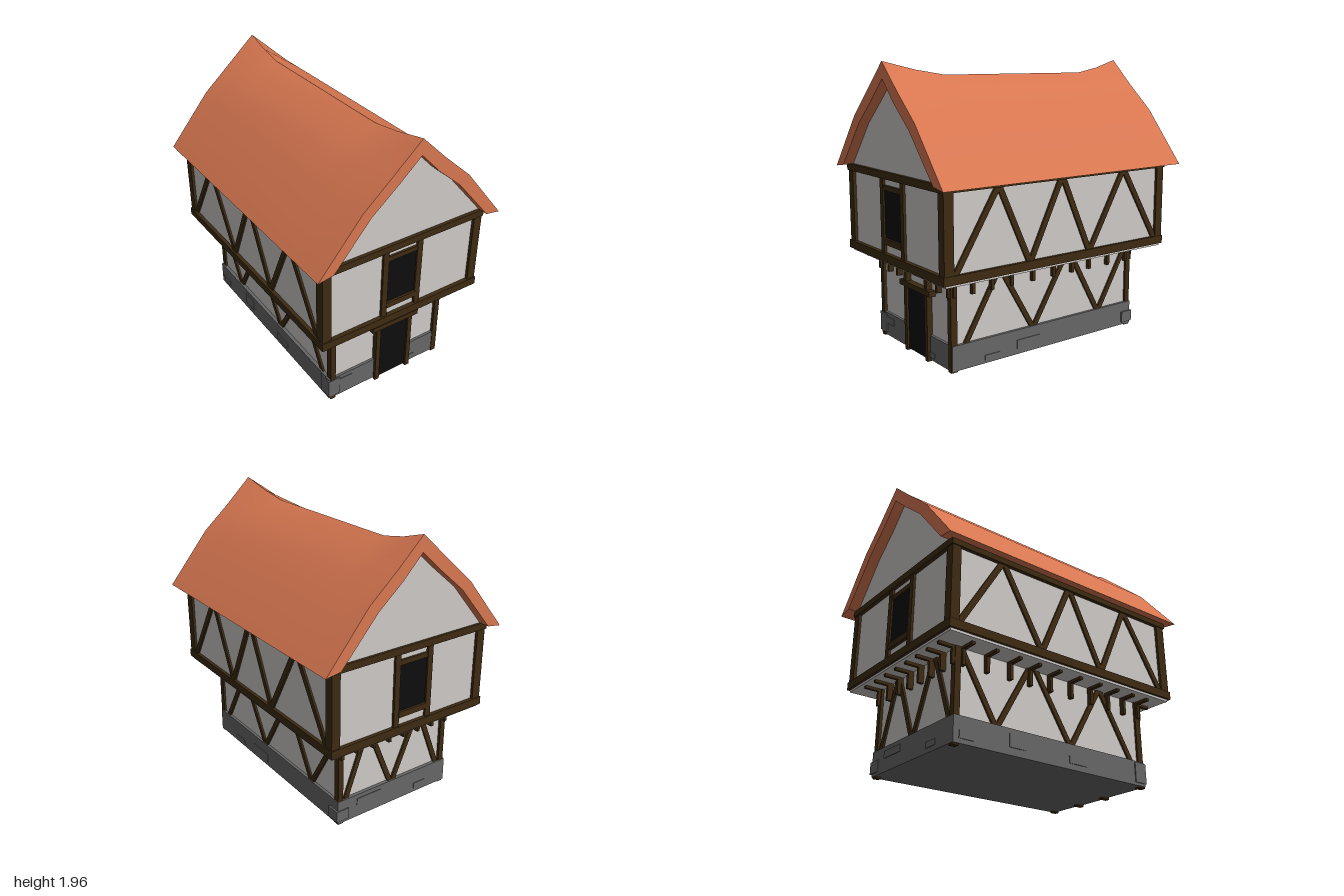
import * as THREE from 'three';
import { toCreasedNormals } from 'three/addons/utils/BufferGeometryUtils.js';

const mat = (color) => new THREE.MeshStandardMaterial({ color, roughness: 0.9 });

export function createModel() {
  const house = new THREE.Group();
  house.name = 'timberFramedHouse';
  const plaster = mat(0xccc8c6), timber = mat(0x3c2a12), stone = mat(0x666666);
  const tile = mat(0xd67650), dark = mat(0x0d0d0d);

  // box given by its min and max on each axis
  function box(name, material, x0, x1, y0, y1, z0, z1) {
    const mesh = new THREE.Mesh(new THREE.BoxGeometry(x1 - x0, y1 - y0, z1 - z0), material);
    mesh.position.set((x0 + x1) / 2, (y0 + y1) / 2, (z0 + z1) / 2);
    mesh.name = name;
    house.add(mesh);
    return mesh;
  }

  // slanted timber between two points that lie in one wall plane
  function brace(name, ax, ay, az, bx, by, bz, width, depth) {
    const a = new THREE.Vector3(ax, ay, az), b = new THREE.Vector3(bx, by, bz);
    const onSide = ax === bx;
    const size = onSide ? [depth, a.distanceTo(b) + 0.02, width] : [width, a.distanceTo(b) + 0.02, depth];
    const mesh = new THREE.Mesh(new THREE.BoxGeometry(...size), timber);
    mesh.position.copy(a).add(b).multiplyScalar(0.5);
    if (onSide) mesh.rotation.x = Math.atan2(bz - az, by - ay);
    else mesh.rotation.z = -Math.atan2(bx - ax, by - ay);
    mesh.name = name;
    house.add(mesh);
  }

  // stone plinth with a few raised blocks
  box('plinth', stone, -0.485, 0.455, 0.01, 0.18, -0.79, 0.793);
  for (const [z0, z1, y0, y1] of [[0.42, 0.54, 0.03, 0.065], [0.085, 0.275, 0.045, 0.11]])
    box('plinthStone', stone, 0.45, 0.46, y0, y1, z0, z1);
  for (const [z0, z1, y0, y1] of [[-0.75, -0.65, 0.04, 0.09], [-0.38, -0.26, 0.06, 0.15], [0.1, 0.25, 0.05, 0.1]])
    box('plinthStone', stone, -0.49, -0.48, y0, y1, z0, z1);
  for (const [x0, x1, y0, y1] of [[0.19, 0.245, 0.03, 0.065], [-0.4, -0.3, 0.1, 0.15]])
    box('plinthStone', stone, x0, x1, y0, y1, 0.78, 0.798);
  for (const [x0, x1, y0, y1] of [[0.1, 0.3, 0.1, 0.15], [-0.3, -0.2, 0.04, 0.08]])
    box('plinthStone', stone, x0, x1, y0, y1, -0.795, -0.78);
  box('cornerStone', stone, -0.492, -0.4, 0.03, 0.17, 0.7, 0.8);
  box('cornerStone', stone, 0.37, 0.468, 0.03, 0.11, -0.797, -0.7);

  // plaster walls and the floor slab of the jetty
  box('lowerWalls', plaster, -0.46, 0.435, 0.17, 0.63, -0.765, 0.775);
  box('jettyFloor', plaster, -0.625, 0.605, 0.622, 0.65, -0.925, 0.93);
  box('upperWalls', plaster, -0.615, 0.595, 0.645, 1.245, -0.915, 0.92);

  // corner posts
  for (const [x0, x1] of [[-0.475, -0.435], [0.41, 0.45]])
    for (const [z0, z1] of [[-0.785, -0.742], [0.75, 0.797]])
      box('lowerCornerPost', timber, x0, x1, 0, 0.63, z0, z1);
  for (const [x0, x1] of [[-0.635, -0.57], [0.55, 0.613]])
    for (const [z0, z1] of [[-0.935, -0.87], [0.872, 0.942]])
      box('upperCornerPost', timber, x0, x1, 0.65, 1.24, z0, z1);

  // sill and top beams around the upper storey
  for (const [y0, y1] of [[0.638, 0.695], [1.2, 1.248]]) {
    for (const [x0, x1] of [[-0.642, -0.575], [0.553, 0.618]])
      box('sideBeam', timber, x0, x1, y0, y1, -0.942, 0.95);
    for (const [z0, z1] of [[-0.942, -0.88], [0.885, 0.95]])
      box('endBeam', timber, -0.642, 0.618, y0, y1, z0, z1);
  }

  // zigzag braces on both long sides: [z at bottom, z at top]
  const upperZ = [[0.86, 0.54], [0.29, 0.53], [0.28, 0.03], [-0.225, 0.01], [-0.235, -0.53], [-0.865, -0.55]];
  const lowerZ = [[0.68, 0.42], [0.14, 0.4], [0.12, -0.15], [-0.46, -0.21], [-0.48, -0.74]];
  for (const side of [-1, 1]) {
    for (const [b, t] of upperZ) {
      const x = side > 0 ? 0.592 : -0.612;
      brace('upperBrace', x, 0.69, b, x, 1.205, t, 0.04, 0.034);
    }
    for (const [b, t] of lowerZ) {
      const x = side > 0 ? 0.432 : -0.457;
      brace('lowerBrace', x, 0.18, b, x, 0.62, t, 0.036, 0.034);
    }
  }
  // back wall braces: [x at bottom, x at top]
  for (const [b, t] of [[0.38, 0.22], [0.01, 0.19], [-0.02, -0.21], [-0.41, -0.24]])
    brace('backBrace', b, 0.18, -0.762, t, 0.62, -0.762, 0.036, 0.034);

  // jetty brackets: a joist under the floor and a short strut on the wall
  for (const z of [0.77, 0.63, 0.48, 0.32, 0.14, -0.04, -0.21, -0.37, -0.55, -0.73]) {
    box('joist', timber, 0.4, 0.55, 0.603, 0.626, z - 0.012, z + 0.012);
    box('joistStrut', timber, 0.42, 0.463, 0.5, 0.61, z - 0.012, z + 0.012);
    box('joist', timber, -0.585, -0.43, 0.603, 0.626, z - 0.012, z + 0.012);
    box('joistStrut', timber, -0.493, -0.45, 0.5, 0.61, z - 0.012, z + 0.012);
  }
  for (const x of [-0.46, -0.335, -0.21, -0.085, 0.04, 0.17, 0.3, 0.43]) {
    box('joist', timber, x - 0.011, x + 0.011, 0.603, 0.626, -0.9, -0.75);
    box('joistStrut', timber, x - 0.011, x + 0.011, 0.5, 0.61, -0.805, -0.75);
    if (x > -0.1 && x < 0.2) continue; // the door takes this bay
    box('joist', timber, x - 0.011, x + 0.011, 0.603, 0.626, 0.75, 0.9);
    box('joistStrut', timber, x - 0.011, x + 0.011, 0.5, 0.61, 0.75, 0.812);
  }

  // door
  box('doorOpening', dark, -0.085, 0.16, 0.01, 0.46, 0.74, 0.8);
  for (const x of [-0.112, 0.155]) box('doorPost', timber, x, x + 0.034, 0, 0.63, 0.75, 0.815);
  box('doorLintel', timber, -0.155, 0.232, 0.455, 0.492, 0.75, 0.822);

  // one window at each end
  for (const s of [-1, 1]) {
    const z = s > 0 ? 0.92 : -0.915;
    const part = (name, m, x0, x1, y0, y1, d) => box(name, m, x0, x1, y0, y1, z - d, z + d);
    part('windowOpening', dark, -0.142, 0.09, 0.79, 1.125, 0.006);
    part('windowPost', timber, -0.182, -0.14, 0.69, 1.205, 0.018);
    part('windowPost', timber, 0.085, 0.127, 0.69, 1.205, 0.018);
    part('windowLintel', timber, -0.145, 0.09, 1.12, 1.155, 0.015);
    part('windowSill', timber, -0.145, 0.09, 0.755, 0.797, 0.022);
  }

  // gable block under the roof
  const inner = [[-0.595, 1.245], [-0.335, 1.55], [-0.145, 1.71], [0.01, 1.85], [0.155, 1.7], [0.33, 1.55], [0.595, 1.245]];
  const gableShape = new THREE.Shape(inner.map(([x, y]) => new THREE.Vector2(x, y)));
  const gable = new THREE.Mesh(new THREE.ExtrudeGeometry(gableShape, { depth: 1.85, bevelEnabled: false }), plaster);
  gable.position.z = -0.925;
  gable.name = 'gables';
  house.add(gable);

  // roof: bent cross-section swept along z, its ridge sagging between the ends
  const outer = [[-0.705, 1.228], [-0.4, 1.595], [-0.185, 1.785], [0.01, 1.96], [0.195, 1.782], [0.4, 1.6], [0.705, 1.228]];
  const ridge = [[-1, 1.96], [-0.82, 1.905], [-0.64, 1.87], [0.54, 1.87], [0.76, 1.905], [1, 1.96]];
  const ring = [...outer, ...[...inner].reverse()], n = ring.length;
  const pos = [], idx = [];
  for (const [z, top] of ridge)
    ring.forEach(([x, y], i) => pos.push(x, i === 3 ? top : y, z));
  for (let k = 0; k < ridge.length - 1; k++)
    for (let i = 0; i < n; i++) {
      const a = k * n + i, b = k * n + (i + 1) % n;
      idx.push(a, a + n, b + n, a, b + n, b);
    }
  const last = (ridge.length - 1) * n;
  for (let i = 0; i < 6; i++) { // verge faces at both ends
    const o = i, p = i + 1, q = n - 2 - i, r = n - 1 - i;
    idx.push(last + o, last + r, last + q, last + o, last + q, last + p);
    idx.push(o, q, r, o, p, q);
  }
  const roofGeo = new THREE.BufferGeometry();
  roofGeo.setAttribute('position', new THREE.Float32BufferAttribute(pos, 3));
  roofGeo.setIndex(idx);
  const roof = new THREE.Mesh(toCreasedNormals(roofGeo, 0.6), tile);
  roof.name = 'roof';
  house.add(roof);

  return house;
}
